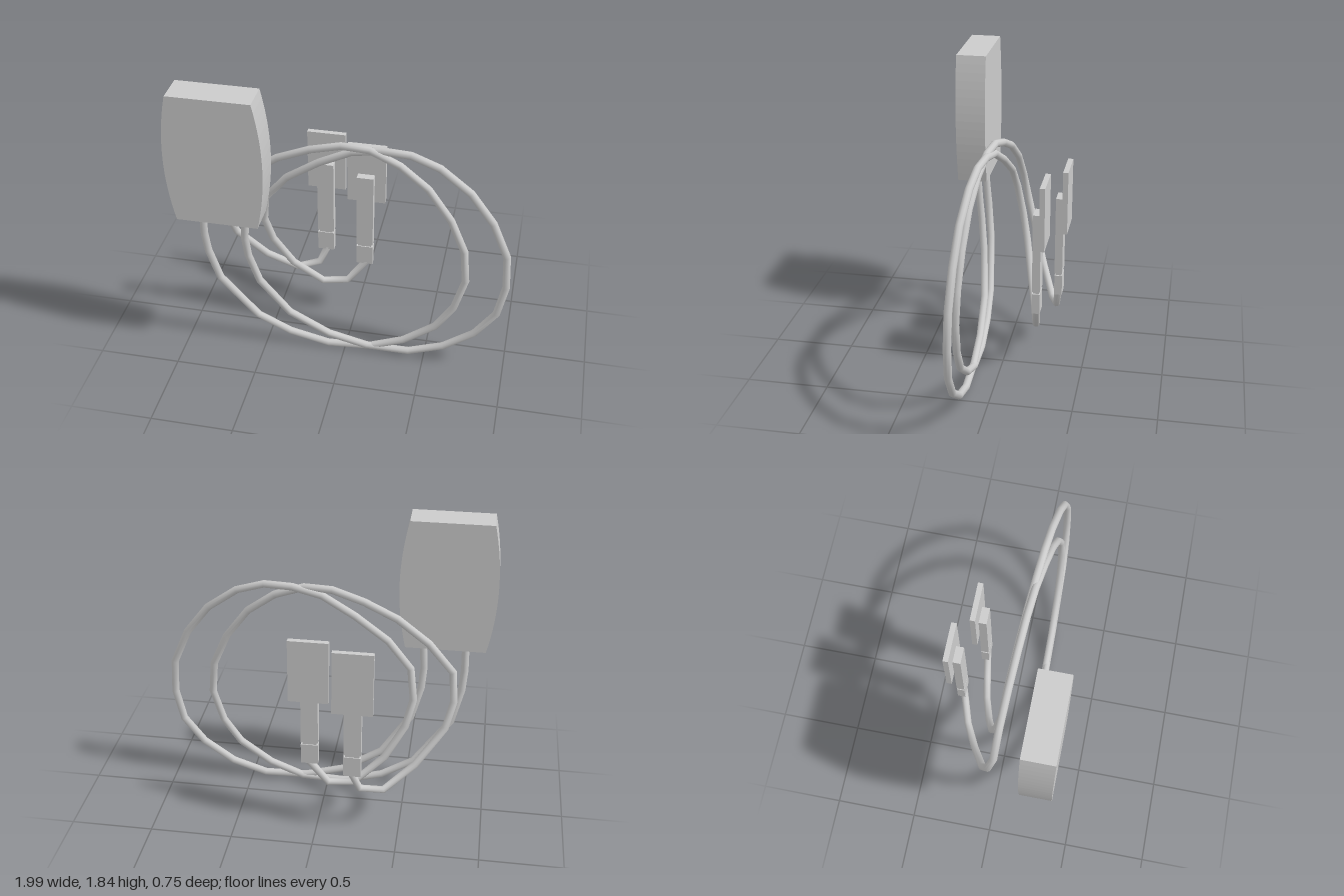
import * as THREE from 'three';

const material = new THREE.MeshStandardMaterial({ color: 0xcccccc });

function add(parent, name, geometry, x = 0, y = 0, z = 0) {
  const mesh = new THREE.Mesh(geometry, material);
  mesh.name = name;
  mesh.position.set(x, y, z);
  parent.add(mesh);
  return mesh;
}

// Box given by its width, bottom, top, back and front
function slab(parent, name, x, width, y0, y1, z0, z1) {
  add(parent, name, new THREE.BoxGeometry(width, y1 - y0, z1 - z0), x, (y0 + y1) / 2, (z0 + z1) / 2);
}

// Tube with exactly one ring per path point, keeping the segmented bends
function cable(parent, name, points) {
  const curve = new THREE.CatmullRomCurve3(points.map((p) => new THREE.Vector3(...p)));
  curve.getPointAt = curve.getPoint;
  curve.getTangentAt = curve.getTangent;
  add(parent, name, new THREE.TubeGeometry(curve, points.length - 1, 0.023, 10));
}

// Plug: grip collar, narrow neck, long bar and a flat plate behind it
function plug(parent, name, x, back) {
  const group = new THREE.Group();
  group.name = name;
  slab(group, 'collar', x, 0.104, 0.42, 0.552, back, back + 0.048);
  slab(group, 'neck', x, 0.085, 0.552, 0.568, back + 0.006, back + 0.042);
  slab(group, 'bar', x, 0.104, 0.568, 1.07, back, back + 0.048);
  slab(group, 'plate', x, 0.24, 0.87, 1.27, back - 0.032, back);
  parent.add(group);
}

export function createModel() {
  const model = new THREE.Group();
  model.name = 'cableAdapter';

  // Housing with bulging sides
  const outline = new THREE.Shape();
  outline.moveTo(-0.243, -0.41);
  outline.lineTo(0.243, -0.41);
  outline.quadraticCurveTo(0.337, 0, 0.243, 0.41);
  outline.lineTo(-0.243, 0.41);
  outline.quadraticCurveTo(-0.337, 0, -0.243, -0.41);
  const housing = new THREE.ExtrudeGeometry(outline, { depth: 0.185, bevelEnabled: false, curveSegments: 16 });
  add(model, 'housing', housing, -0.71, 1.438, 0.19);

  // Outer cable, from the housing round the loop to the rear plug
  cable(model, 'leftCable', [
    [-0.83, 1.06, 0.27], [-0.835, 0.86, 0.26], [-0.825, 0.725, 0.245], [-0.77, 0.505, 0.22],
    [-0.55, 0.21, 0.185], [-0.35, 0.095, 0.17], [-0.105, 0.03, 0.16], [0.16, 0.045, 0.155],
    [0.37, 0.13, 0.155], [0.565, 0.275, 0.152], [0.67, 0.435, 0.147], [0.73, 0.645, 0.14],
    [0.71, 0.855, 0.13], [0.62, 1.06, 0.12], [0.48, 1.25, 0.107], [0.31, 1.377, 0.09],
    [0.13, 1.447, 0.07], [-0.04, 1.447, 0.055], [-0.23, 1.39, 0.04], [-0.43, 1.3, 0.025],
    [-0.62, 1.16, 0.01], [-0.77, 0.985, 0], [-0.785, 0.805, -0.035], [-0.745, 0.645, -0.08],
    [-0.58, 0.425, -0.17], [-0.4, 0.28, -0.255], [-0.26, 0.31, -0.3], [-0.205, 0.44, -0.318],
  ]);

  // Second cable, from the housing round the loop to the nearer plug
  cable(model, 'rightCable', [
    [-0.57, 1.06, 0.27], [-0.585, 0.86, 0.26], [-0.575, 0.725, 0.245], [-0.52, 0.52, 0.22],
    [-0.345, 0.265, 0.185], [-0.1, 0.115, 0.168], [0.14, 0.05, 0.16], [0.405, 0.045, 0.155],
    [0.62, 0.12, 0.15], [0.805, 0.254, 0.147], [0.93, 0.425, 0.14], [0.972, 0.63, 0.133],
    [0.96, 0.85, 0.126], [0.865, 1.07, 0.118], [0.725, 1.254, 0.108], [0.54, 1.39, 0.092],
    [0.37, 1.447, 0.078], [0.2, 1.447, 0.064], [0.02, 1.41, 0.048], [-0.18, 1.3, 0.028],
    [-0.38, 1.16, 0.01], [-0.52, 0.99, -0.002], [-0.545, 0.8, -0.035], [-0.505, 0.63, -0.07],
    [-0.39, 0.425, -0.115], [-0.21, 0.26, -0.17], [-0.055, 0.265, -0.2], [0.075, 0.44, -0.218],
  ]);

  plug(model, 'leftPlug', -0.217, -0.343);
  plug(model, 'rightPlug', 0.054, -0.243);
  return model;
}
